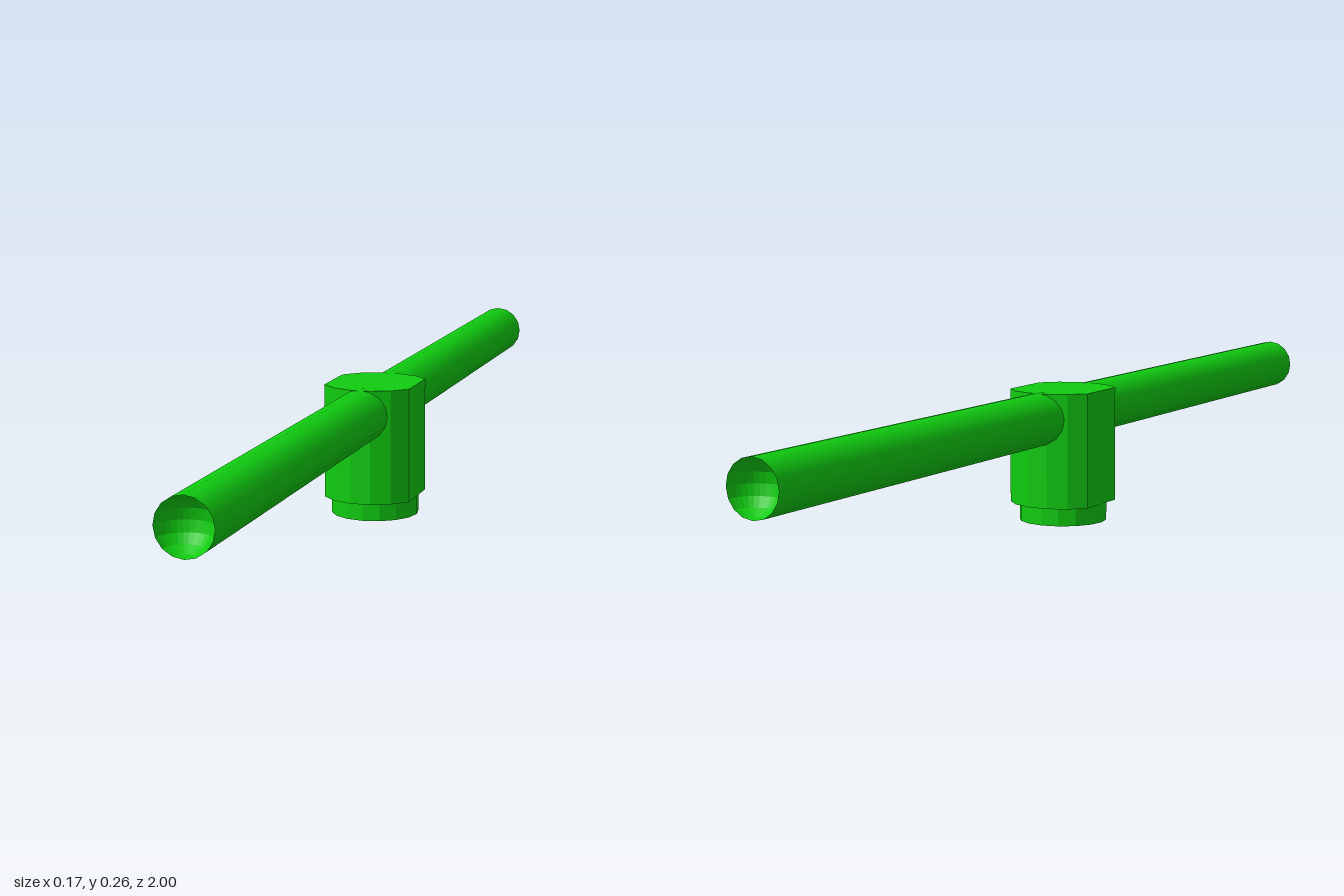
import * as THREE from 'three';

const R = 0.051;      // rod radius
const ROD_Y = 0.207;  // rod axis height
const HUB_R = 0.102;  // hub corner radius

export function createModel() {
  const group = new THREE.Group();
  const color = 0x10cc10;
  const smooth = new THREE.MeshStandardMaterial({ color });
  const flat = new THREE.MeshStandardMaterial({ color, flatShading: true });

  const add = (name, geometry, material, y = 0) => {
    const mesh = new THREE.Mesh(geometry, material);
    mesh.name = name;
    mesh.position.y = y;
    group.add(mesh);
    return mesh;
  };

  // Round foot under the hub
  add('foot', new THREE.CylinderGeometry(0.085, 0.085, 0.036, 16), flat, 0.018);

  // Hub: a round column with two broad flat sides
  const corners = [];
  for (const start of [-56.25, 123.75]) {
    for (let i = 0; i < 6; i++) {
      const a = THREE.MathUtils.degToRad(start + i * 22.5);
      corners.push(new THREE.Vector2(HUB_R * Math.sin(a), HUB_R * Math.cos(a)));
    }
  }
  const hub = new THREE.ExtrudeGeometry(new THREE.Shape(corners), { depth: 0.221, bevelEnabled: false });
  hub.rotateX(-Math.PI / 2);
  add('hub', hub, flat, 0.036);

  // Two rods, each with a hollow round cup in its outer end
  for (const [name, turn] of [['frontRod', 0], ['backRod', Math.PI]]) {
    const rod = new THREE.CylinderGeometry(R, R, 0.92, 16, 1, true);
    rod.rotateX(Math.PI / 2).translate(0, 0, 0.54);
    add(name, rod, smooth, ROD_Y).rotation.y = turn;

    const cup = new THREE.SphereGeometry(R, 16, 8, Math.PI, Math.PI);
    const inside = new THREE.MeshStandardMaterial({ color, flatShading: true, side: THREE.DoubleSide });
    cup.translate(0, 0, 1);
    // keep the bowl pointing into the rod
    cup.computeBoundingBox();
    if (cup.boundingBox.max.z > 1.01) cup.translate(0, 0, -1).rotateY(Math.PI).translate(0, 0, 1);
    add(name + 'Cup', cup, inside, ROD_Y).rotation.y = turn;
  }

  return group;
}
